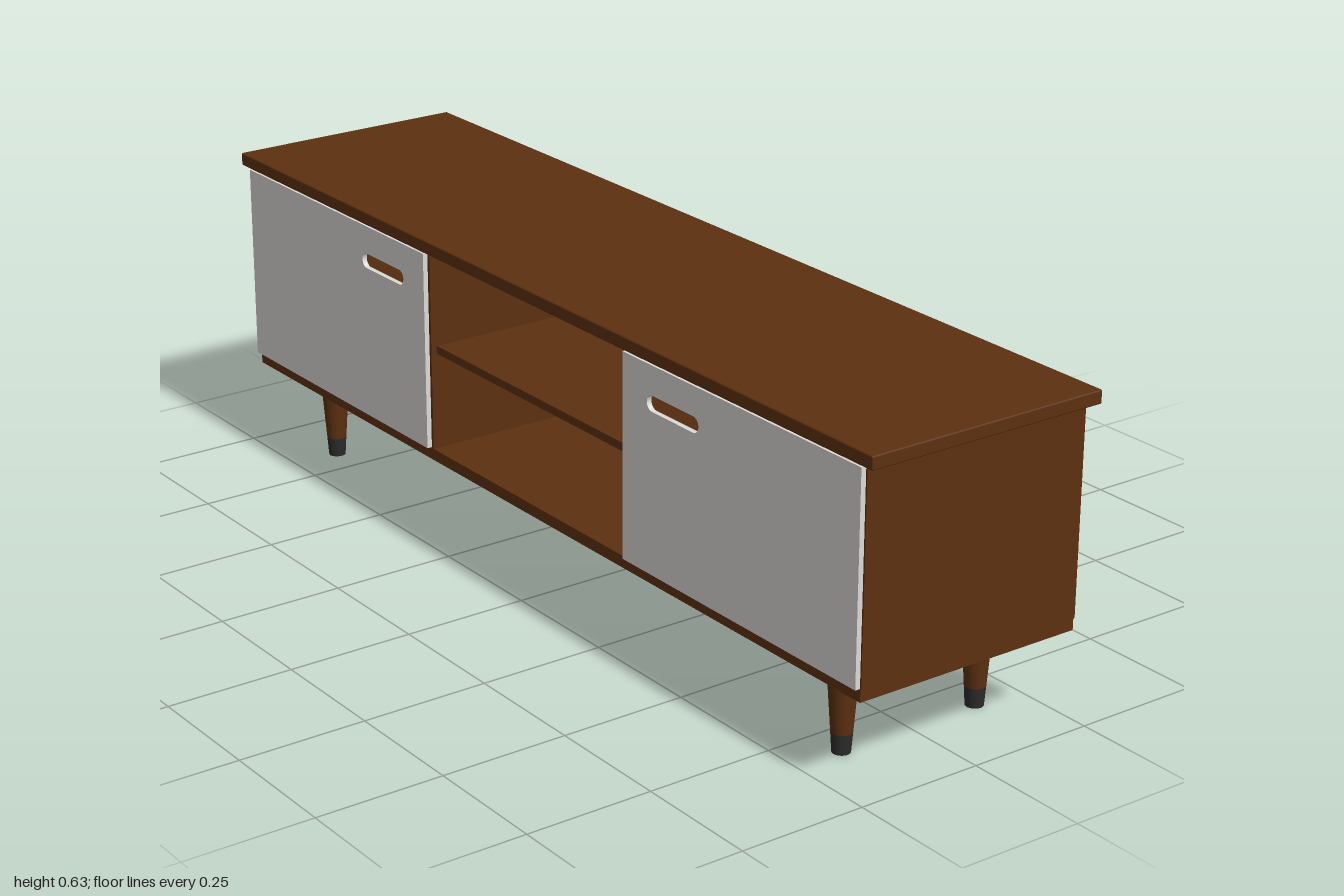
import * as THREE from 'three';
import { RoundedBoxGeometry } from 'three/addons/geometries/RoundedBoxGeometry.js';

export function createModel() {
  const model = new THREE.Group();
  model.name = 'mediaConsole';

  const material = (name, color) => {
    const m = new THREE.MeshStandardMaterial({ color });
    m.name = name;
    return m;
  };
  const walnut = material('walnut', 0x5c3010);
  const paint = material('offWhitePaint', 0xdcdad5);
  const rubber = material('blackTip', 0x2b2b2b);

  const add = (name, geometry, mat, x = 0, y = 0, z = 0) => {
    const mesh = new THREE.Mesh(geometry, mat);
    mesh.name = name;
    mesh.position.set(x, y, z);
    model.add(mesh);
    return mesh;
  };
  // Board given by its extents on each axis
  const board = (name, [x0, x1], [y0, y1], [z0, z1]) =>
    add(name, new THREE.BoxGeometry(x1 - x0, y1 - y0, z1 - z0), walnut,
      (x0 + x1) / 2, (y0 + y1) / 2, (z0 + z1) / 2);

  const rectangle = (w, h) => new THREE.Shape([
    new THREE.Vector2(-w / 2, -h / 2), new THREE.Vector2(w / 2, -h / 2),
    new THREE.Vector2(w / 2, h / 2), new THREE.Vector2(-w / 2, h / 2),
  ]);
  const panel = (shape, depth) =>
    new THREE.ExtrudeGeometry(shape, { depth, bevelEnabled: false, curveSegments: 16 });

  // Overhanging top with softened edges, and the base board
  add('top', new RoundedBoxGeometry(2, 0.026, 0.498, 2, 0.003), walnut, 0, 0.614, 0);
  board('base', [-0.972, 0.972], [0.177, 0.2], [-0.237, 0.237]);

  // Middle shelf
  board('shelf', [-0.316, 0.316], [0.394, 0.41], [-0.23, 0.225]);

  // Back panel with a round cable hole, set in slightly from the uprights
  const back = rectangle(1.92, 0.402);
  back.holes.push(new THREE.Path().absarc(0, -0.088, 0.037, 0, Math.PI * 2, true));
  add('backPanel', panel(back, 0.012), walnut, 0, 0.4, -0.233);

  for (const s of [-1, 1]) {
    const side = s > 0 ? 'left' : 'right';

    // Outer side and inner divider
    const upright = (name, a, b) =>
      board(side + name, s > 0 ? [a, b] : [-b, -a], [0.2, 0.602], [-0.238, 0.237]);
    upright('Side', 0.955, 0.974);
    upright('Divider', 0.315, 0.333);

    // Door with a rounded finger slot near the centre of the cabinet
    const door = rectangle(0.65, 0.396);
    const slotX = s * (0.467 - 0.646), slotY = 0.127, r = 0.015, half = 0.059;
    const slot = new THREE.Path();
    slot.absarc(slotX + half, slotY, r, Math.PI / 2, -Math.PI / 2, true);
    slot.absarc(slotX - half, slotY, r, -Math.PI / 2, -Math.PI * 1.5, true);
    slot.closePath();
    door.holes.push(slot);
    add(side + 'Door', panel(door, 0.01), paint, s * 0.646, 0.4, 0.2372);

    // Tapered legs with dark tips
    for (const f of [-1, 1]) {
      const name = side + (f > 0 ? 'Front' : 'Back');
      add(name + 'Leg', new THREE.CylinderGeometry(0.03, 0.0198, 0.139, 32), walnut,
        s * 0.825, 0.1085, f * 0.151);
      add(name + 'Tip', new THREE.CylinderGeometry(0.0198, 0.017, 0.039, 32), rubber,
        s * 0.825, 0.0195, f * 0.151);
    }
  }
  return model;
}
